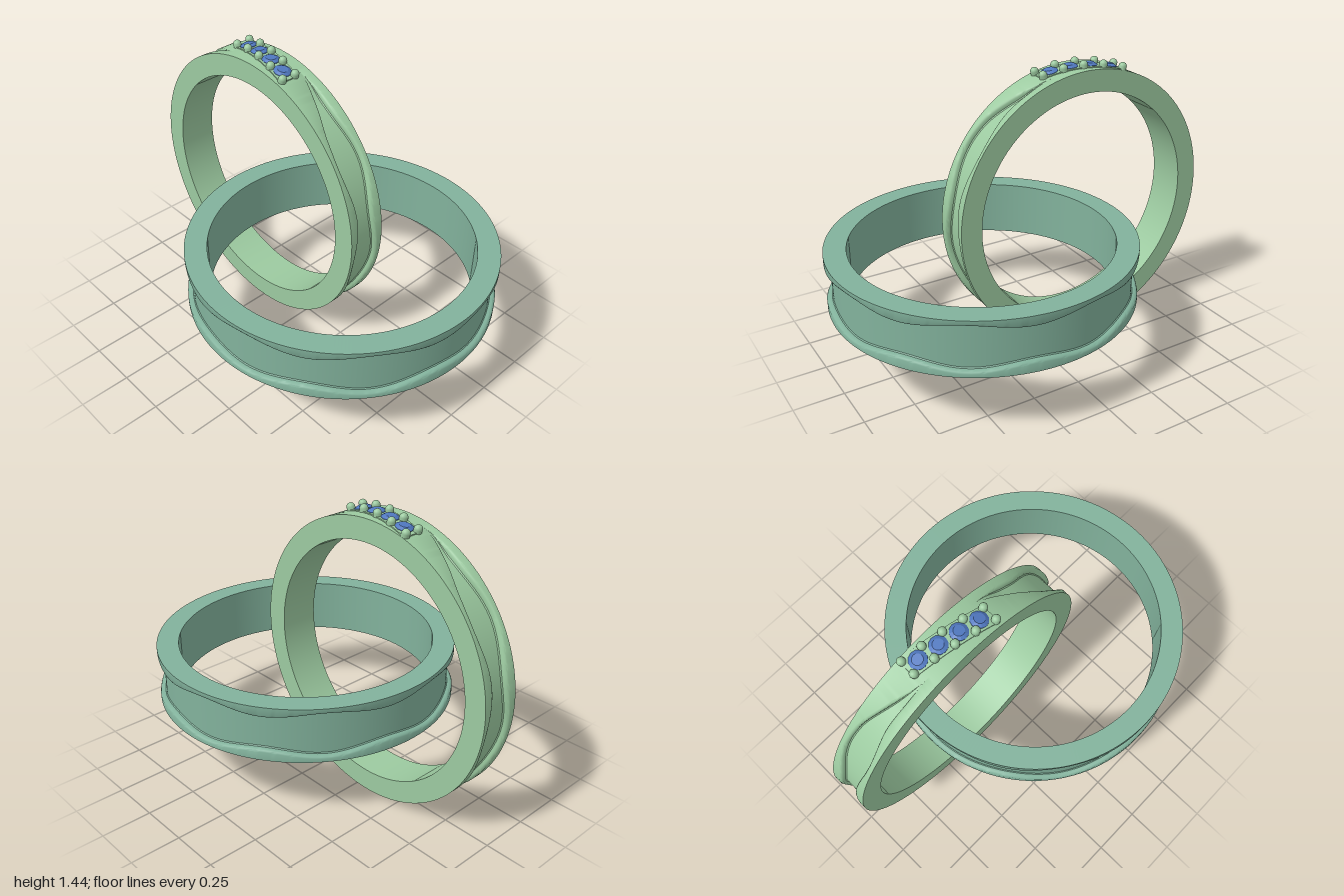
import * as THREE from 'three';
import { toCreasedNormals } from 'three/addons/utils/BufferGeometryUtils.js';

const deg = Math.PI / 180;
const { lerp, smoothstep } = THREE.MathUtils;

// Band around the y axis; edges(angle) gives the lower and upper border of its groove
function bandGeometry(outer, inner, half, depth, edges, segments = 288) {
  const pos = [], index = [];
  let n = 0;
  for (let i = 0; i < segments; i++) {
    const a = (i / segments) * Math.PI * 2;
    const [lo, hi] = edges(a);
    const k = smoothstep(hi - lo, 0, 0.05);
    const d = depth * k, b = 0.012 * k;
    const floor = outer - d;
    const profile = [
      [inner, half], [inner, -half], [outer, -half],
      [outer, lo - b], [outer - d * 0.12, lo - b * 0.4], [outer - d * 0.4, lo],
      [floor + d * 0.15, lo], [floor, lo + b * 0.4],
      [floor, hi - b * 0.4], [floor + d * 0.15, hi],
      [outer - d * 0.4, hi], [outer - d * 0.12, hi + b * 0.4], [outer, hi + b],
      [outer, half],
    ];
    n = profile.length;
    for (const [r, y] of profile) pos.push(r * Math.cos(a), y, r * Math.sin(a));
  }
  for (let i = 0; i < segments; i++) {
    const i2 = (i + 1) % segments;
    for (let j = 0; j < n; j++) {
      const j2 = (j + 1) % n;
      const a = i * n + j, b = i * n + j2, c = i2 * n + j2, e = i2 * n + j;
      index.push(a, b, e, b, c, e);
    }
  }
  const g = new THREE.BufferGeometry();
  g.setAttribute('position', new THREE.Float32BufferAttribute(pos, 3));
  g.setIndex(index);
  return toCreasedNormals(g, 0.65);
}

function addMesh(parent, name, geometry, material) {
  const m = new THREE.Mesh(geometry, material);
  m.name = name;
  parent.add(m);
  return m;
}

export function createModel() {
  const model = new THREE.Group();
  model.name = 'interlockedRings';
  const paleMetal = new THREE.MeshStandardMaterial({ color: 0x9ccaa0 });
  const deepMetal = new THREE.MeshStandardMaterial({ color: 0x82b29c });
  const gem = new THREE.MeshStandardMaterial({ color: 0x5078c0, flatShading: true });

  // Lying wide ring with a wavy groove
  const wide = addMesh(model, 'wideRing', bandGeometry(0.76, 0.65, 0.14, 0.03, (a) => {
    const h = 0.098 + 0.013 * Math.cos(8 * (a - 34 * deg));
    return [-h, h];
  }), deepMetal);
  wide.position.set(0.24, 0.49, 0);

  // Standing ring; its groove sweeps aside and tapers out beside the stones
  const R = 0.703;
  const standing = new THREE.Group();
  standing.name = 'standingRing';
  standing.position.set(-0.3, 0.704, 0);
  model.add(standing);
  const band = addMesh(standing, 'narrowBand', bandGeometry(R, 0.593, 0.1, 0.03, (a) => {
    const fromTop = Math.acos(-Math.sin(a)) / deg;
    const h = 0.058 + 0.013 * Math.cos(8 * (fromTop - 56) * deg);
    const t = smoothstep(fromTop, 14, 46);
    const lo = lerp(-0.05, -h, t), hi = lerp(-0.05, h, t);
    return Math.cos(a) >= 0 ? [lo, hi] : [-hi, -lo];
  }), paleMetal);
  band.rotation.x = Math.PI / 2;

  // Slanted stone setting, bent over the crown of the band
  const slant = 0.18, midZ = -0.006;
  const plate = new THREE.BoxGeometry(0.42, 0.03, 0.105, 32, 1, 1);
  const p = plate.attributes.position;
  for (let i = 0; i < p.count; i++) {
    const x = p.getX(i);
    const y = Math.sqrt(R * R - x * x) + p.getY(i) - 0.01;
    p.setXYZ(i, x, y, p.getZ(i) + slant * x + midZ);
  }
  addMesh(standing, 'stoneSetting', toCreasedNormals(plate, 0.5), paleMetal);

  // Places a part upright on the band at a given spot of the setting
  const seat = (mesh, x, across, lift) => {
    const t = Math.asin(x / R);
    mesh.position.set((R + lift) * Math.sin(t), (R + lift) * Math.cos(t), slant * x + across + midZ);
    mesh.rotation.z = -t;
  };

  // Four faceted stones
  const stoneGeo = new THREE.LatheGeometry([
    [0, -0.03], [0.043, -0.003], [0.043, 0.002], [0.026, 0.012], [0, 0.012],
  ].map(([x, y]) => new THREE.Vector2(x, y)), 12);
  for (let i = 0; i < 4; i++) {
    seat(addMesh(standing, 'stone', stoneGeo, gem), (i - 1.5) * 0.1, 0, 0.005);
  }

  // Two rows of round-topped prongs
  const prongGeo = new THREE.CapsuleGeometry(0.02, 0.03, 6, 16);
  for (let i = 0; i < 5; i++) {
    for (const side of [-1, 1]) {
      seat(addMesh(standing, 'prong', prongGeo, paleMetal), (i - 2) * 0.1, side * 0.038, 0.001);
    }
  }
  return model;
}
